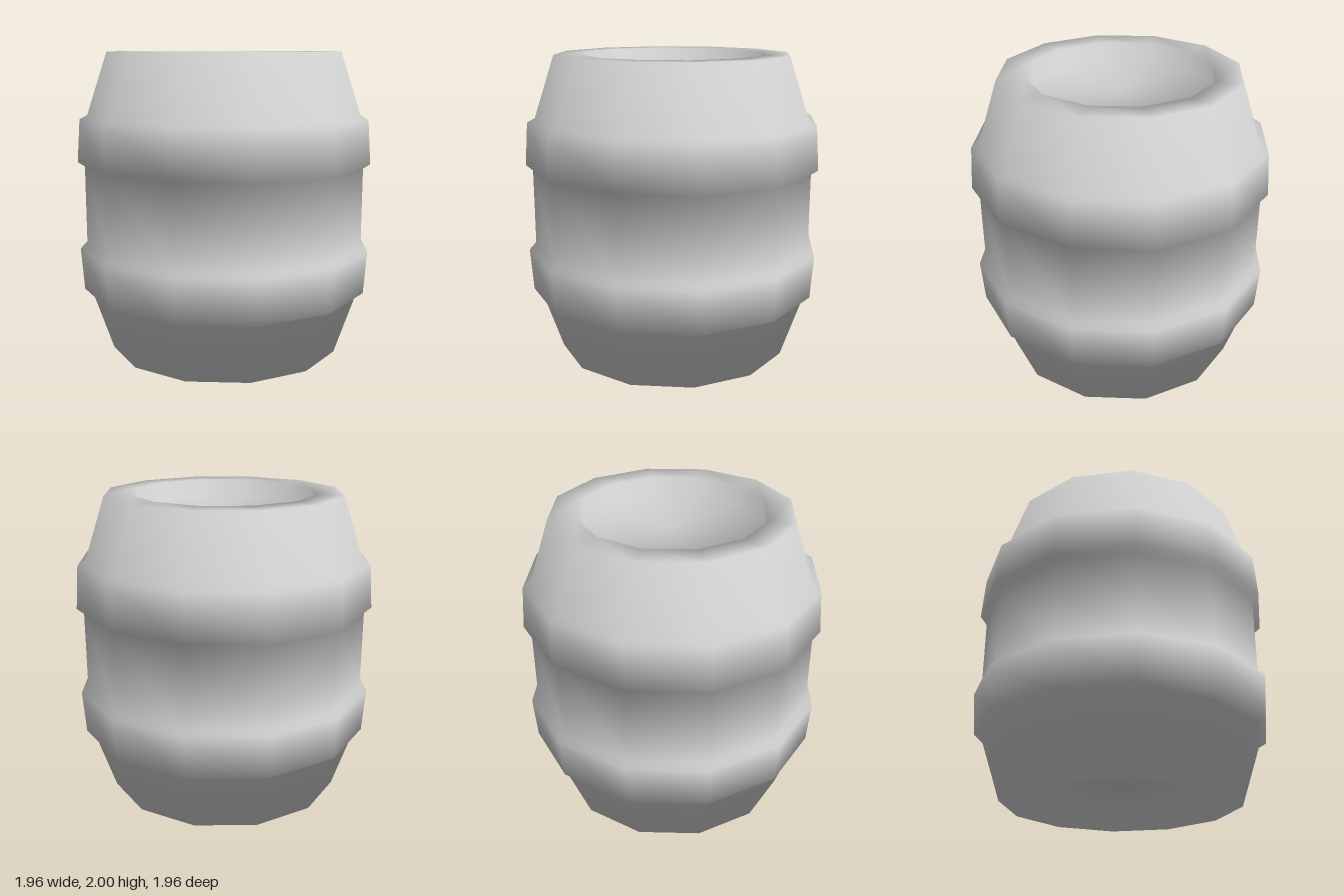
import * as THREE from 'three';

const SIDES = 12;
const RECESS = 0.12; // depth of the shallow hollow at each end

// Outward unit normal of the profile segment from a to b
const segmentNormal = (a, b) => new THREE.Vector2(b.y - a.y, a.x - b.x).normalize();

// Lathe whose corners blend both neighbouring bands equally, for soft shading
function softLathe(profile) {
  const geometry = new THREE.LatheGeometry(profile, SIDES);
  const last = profile.length - 1;
  const blended = profile.map((p, j) => {
    const n = new THREE.Vector2();
    if (j > 0) n.add(segmentNormal(profile[j - 1], p));
    if (j < last) n.add(segmentNormal(p, profile[j + 1]));
    return n.normalize();
  });
  const normals = geometry.attributes.normal;
  for (let i = 0; i <= SIDES; i++) {
    const angle = (i / SIDES) * Math.PI * 2;
    blended.forEach((n, j) => {
      normals.setXYZ(i * profile.length + j, n.x * Math.sin(angle), n.y, n.x * Math.cos(angle));
    });
  }
  return geometry;
}

export function createModel() {
  const group = new THREE.Group();
  group.name = 'barrel';

  // Lower half of the profile: recessed floor, rim, tapered wall, hoop, waist
  const lower = [
    [0, RECESS],
    [0.6, RECESS],
    [0.6, 0],
    [0.775, 0],
    [0.91, 0.405],
    [0.96, 0.43],
    [0.98, 0.71],
    [0.935, 0.74],
  ];
  // Upper half mirrors the lower one
  const upper = lower.map(([r, y]) => [r, 2 - y]).reverse();
  const profile = [...lower, ...upper].map(([r, y]) => new THREE.Vector2(r, y));

  const shell = new THREE.Mesh(
    softLathe(profile),
    new THREE.MeshStandardMaterial({ color: 0xcccccc })
  );
  shell.name = 'hoopedBarrelShell';
  group.add(shell);
  return group;
}
